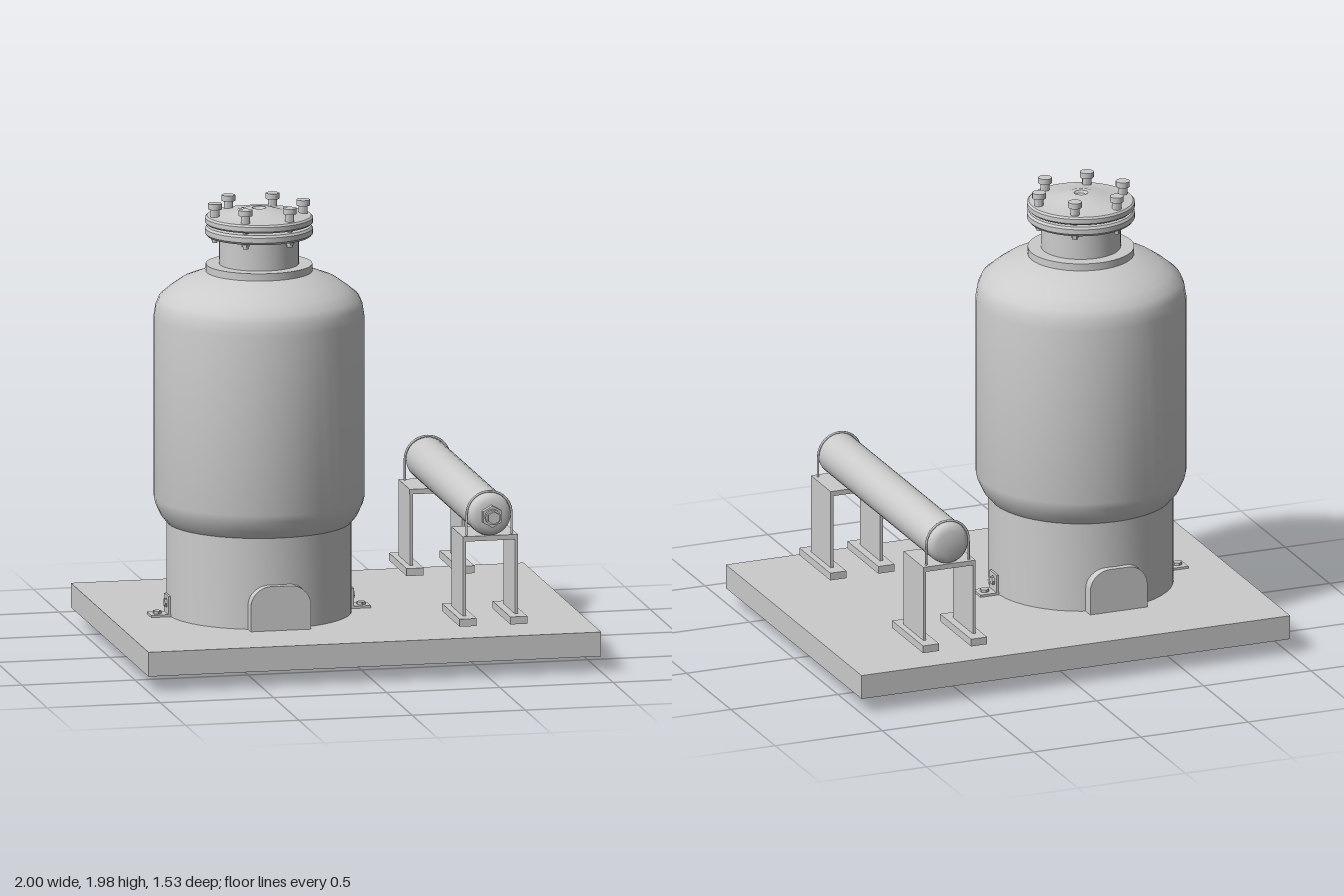
import * as THREE from 'three';
import { toCreasedNormals } from 'three/addons/utils/BufferGeometryUtils.js';

const grey = new THREE.MeshStandardMaterial({ color: 0xcccccc, side: THREE.DoubleSide });

function add(parent, name, geometry, x = 0, y = 0, z = 0) {
  const mesh = new THREE.Mesh(geometry, grey);
  mesh.name = name;
  mesh.position.set(x, y, z);
  parent.add(mesh);
  return mesh;
}

function group(parent, name, x = 0, y = 0, z = 0) {
  const g = new THREE.Group();
  g.name = name;
  g.position.set(x, y, z);
  parent.add(g);
  return g;
}

// Box given by its minimum and maximum corners
function box(parent, name, [x0, y0, z0], [x1, y1, z1]) {
  return add(parent, name, new THREE.BoxGeometry(x1 - x0, y1 - y0, z1 - z0),
    (x0 + x1) / 2, (y0 + y1) / 2, (z0 + z1) / 2);
}

// Revolved profile of [radius, height] pairs
function lathe(points, sides = 48, crease = 0.6) {
  const geometry = new THREE.LatheGeometry(points.map(p => new THREE.Vector2(...p)), sides);
  return toCreasedNormals(geometry, crease);
}

// Upright cylinder between two heights
function rod(parent, name, r, y0, y1, sides, x = 0, z = 0) {
  return add(parent, name, toCreasedNormals(new THREE.CylinderGeometry(r, r, y1 - y0, sides), 0.7), x, (y0 + y1) / 2, z);
}

function addTank(model) {
  const tank = group(model, 'tank', -0.34, 0, 0);
  add(tank, 'skirt', lathe([[0, 0.18], [0.4, 0.18], [0.4, 0.6]]));
  add(tank, 'shell', lathe([
    [0.4, 0.58], [0.425, 0.61], [0.448, 0.66], [0.455, 0.69], [0.455, 1.48],
    [0.447, 1.53], [0.432, 1.565], [0.39, 1.6], [0.34, 1.635], [0.23, 1.678], [0.17, 1.69]
  ]));
  add(tank, 'neckCollar', lathe([[0.23, 1.66], [0.23, 1.71], [0.17, 1.71]]));
  add(tank, 'neck', lathe([[0.172, 1.69], [0.172, 1.85]]));
  add(tank, 'neckFlange', lathe([
    [0, 1.835], [0.225, 1.835], [0.233, 1.845], [0.233, 1.867], [0.225, 1.877], [0, 1.877]
  ]));
  add(tank, 'gasket', lathe([[0.16, 1.875], [0.16, 1.89]]));
  add(tank, 'lid', lathe([
    [0, 1.886], [0.225, 1.886], [0.233, 1.894], [0.233, 1.914], [0.225, 1.922],
    [0.19, 1.924], [0.11, 1.938], [0.06, 1.953], [0.03, 1.955], [0.022, 1.945], [0, 1.945]
  ]));

  // Ring of lid bolts
  for (let i = 0; i < 6; i++) {
    const a = i * Math.PI / 3;
    const bolt = group(tank, 'lidBolt', Math.cos(a) * 0.195, 0, Math.sin(a) * 0.195);
    rod(bolt, 'boltHead', 0.03, 1.957, 1.982, 16);
    rod(bolt, 'boltCollar', 0.02, 1.915, 1.96, 12);
    rod(bolt, 'boltShank', 0.012, 1.81, 1.92, 12);
    rod(bolt, 'boltNut', 0.018, 1.82, 1.84, 6);
  }

  // Arched doors reaching through the base, front and back
  const arch = new THREE.Shape();
  arch.moveTo(-0.133, 0);
  arch.lineTo(0.133, 0);
  arch.lineTo(0.133, 0.28);
  arch.absarc(0.043, 0.28, 0.09, 0, Math.PI / 2);
  arch.absarc(-0.043, 0.28, 0.09, Math.PI / 2, Math.PI);
  arch.closePath();
  const doorGeometry = toCreasedNormals(new THREE.ExtrudeGeometry(arch,
    { depth: 0.075, bevelEnabled: false, curveSegments: 8 }), 0.6);
  add(tank, 'frontDoor', doorGeometry, 0, 0.005, 0.358);
  add(tank, 'backDoor', doorGeometry, 0, 0.005, -0.428);

  // Anchor brackets on both sides
  const tab = new THREE.Shape();
  tab.moveTo(-0.04, 0);
  tab.lineTo(0.04, 0);
  tab.lineTo(0.04, 0.09);
  tab.lineTo(-0.04, 0.09);
  tab.closePath();
  const hole = new THREE.Path();
  hole.absarc(0, 0.055, 0.02, 0, Math.PI * 2, true);
  tab.holes.push(hole);
  const tabGeometry = new THREE.ExtrudeGeometry(tab, { depth: 0.01, bevelEnabled: false });
  for (const turn of [0, Math.PI]) {
    const bracket = group(tank, 'anchorBracket', 0, 0.18, 0);
    bracket.rotation.y = turn;
    box(bracket, 'bracketFoot', [0.39, 0, -0.04], [0.485, 0.01, 0.04]);
    add(bracket, 'bracketTab', tabGeometry, 0.4, 0, 0).rotation.y = Math.PI / 2;
    rod(bracket, 'footBolt', 0.02, 0.008, 0.022, 6, 0.45);
    const pin = rod(bracket, 'tabBolt', 0.018, 0, 0.025, 6);
    pin.position.set(0.407, 0.055, 0);
    pin.rotation.z = Math.PI / 2;
  }
}

function addCylinder(model) {
  const cylinder = group(model, 'sideCylinder', 0.545, 0.685, 0);
  // Profile runs along +z after the turn
  const body = lathe([
    [0, -0.67], [0.06, -0.67], [0.08, -0.663], [0.09, -0.65], [0.094, -0.63],
    [0.094, 0.59], [0.09, 0.61], [0.08, 0.623], [0.06, 0.63], [0, 0.63]
  ], 32, 0.9);
  add(cylinder, 'cylinderBody', body).rotation.x = Math.PI / 2;

  // Stepped end fitting
  for (const [name, r, z0, z1, sides] of [
    ['fittingNut', 0.048, 0.625, 0.655, 6],
    ['fittingNeck', 0.034, 0.65, 0.67, 16],
    ['fittingTip', 0.028, 0.665, 0.685, 6]
  ]) {
    const step = rod(cylinder, name, r, z0, z1, sides);
    step.position.set(0, 0, (z0 + z1) / 2);
    step.rotation.x = Math.PI / 2;
  }
}

function addStand(model, name, z, bottom, strapZ) {
  const stand = group(model, name, 0.545, 0, z);
  box(stand, 'standTop', [-0.122, 0.572, -0.112], [0.122, 0.594, 0.112]);
  for (const s of [-1, 1]) {
    add(stand, 'standSide', new THREE.BoxGeometry(0.013, 0.585 - bottom, 0.224),
      s * 0.115, (0.585 + bottom) / 2, 0);
    add(stand, 'standFoot', new THREE.BoxGeometry(0.075, 0.033, 0.35), s * 0.112, bottom + 0.0165, 0);
  }

  // Hoop strap over the cylinder
  const path = new THREE.CurvePath();
  const points = [];
  for (let i = 0; i <= 16; i++) {
    const a = i * Math.PI / 16;
    points.push(new THREE.Vector3(Math.cos(a) * 0.099, 0.685 + Math.sin(a) * 0.099, 0));
  }
  path.add(new THREE.LineCurve3(new THREE.Vector3(0.099, 0.585, 0), points[0]));
  path.add(new THREE.CatmullRomCurve3(points));
  path.add(new THREE.LineCurve3(points[16], new THREE.Vector3(-0.099, 0.585, 0)));
  add(stand, 'strap', new THREE.TubeGeometry(path, 40, 0.005, 8), 0, 0, strapZ - z);
}

export function createModel() {
  const model = new THREE.Group();
  model.name = 'tankSkid';
  box(model, 'base', [-1, 0.073, -0.766], [1, 0.18, 0.766]);
  addTank(model);
  addCylinder(model);
  addStand(model, 'frontStand', 0.5, 0.212, 0.585);
  addStand(model, 'backStand', -0.546, 0.226, -0.635);
  return model;
}
